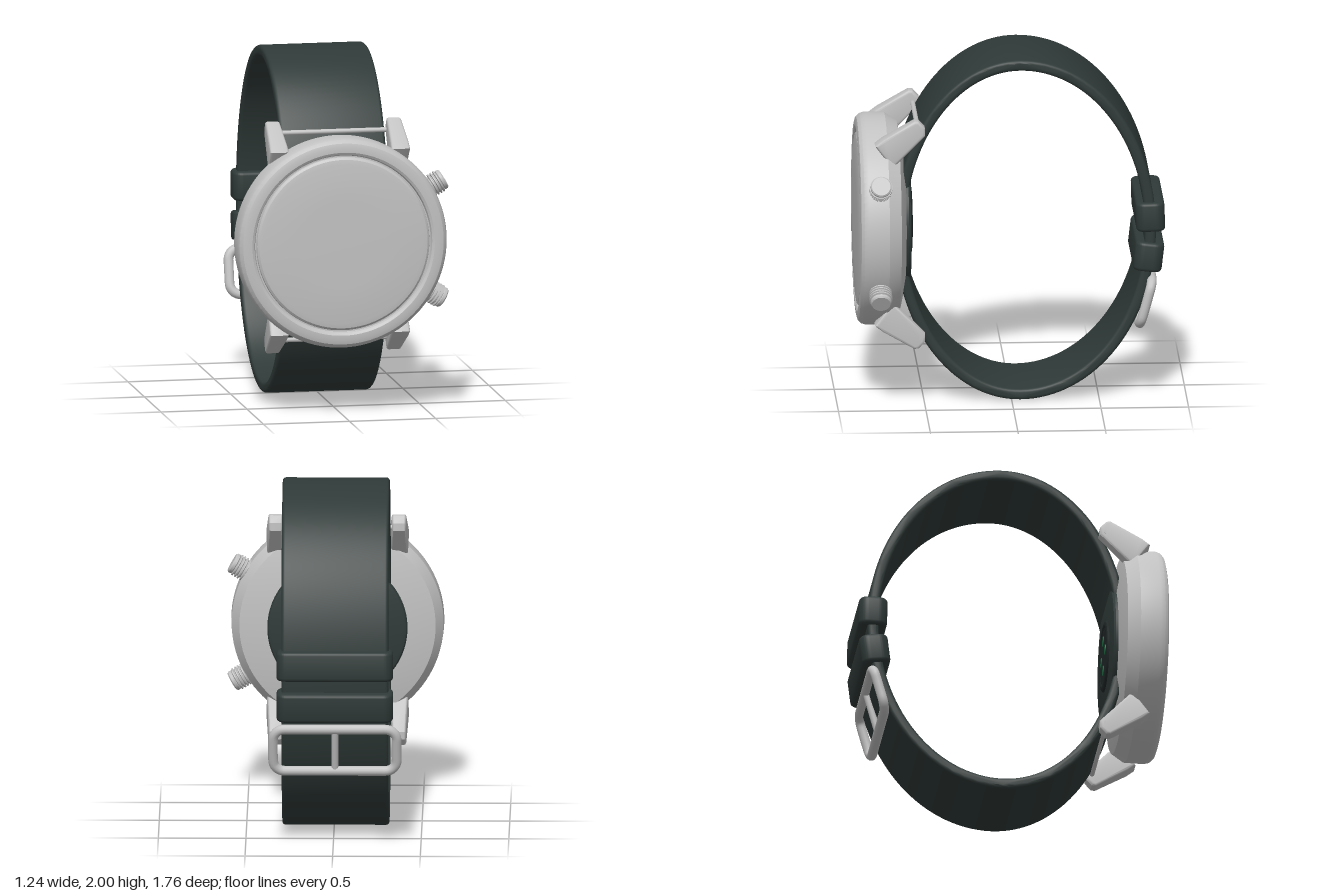
import * as THREE from 'three';
import { toCreasedNormals } from 'three/addons/utils/BufferGeometryUtils.js';

const V2 = (x, y) => new THREE.Vector2(x, y);
const CX = -0.01, CY = 1.0; // centre of the case

export function createModel() {
  const model = new THREE.Group();
  model.name = 'wristwatch';
  const mat = (name, color) => {
    const m = new THREE.MeshStandardMaterial({ color });
    m.name = name;
    return m;
  };
  const silver = mat('silver metal', 0xc2c2c2);
  const rubber = mat('dark green rubber', 0x2f3a38);
  const black = mat('sensor black', 0x222929);
  const green = mat('sensor green', 0x1f6b42);

  const add = (name, geo, material, parent = model) => {
    const mesh = new THREE.Mesh(geo, material);
    mesh.name = name;
    parent.add(mesh);
    return mesh;
  };
  // Lathe whose axis points along +z; profile entries are [radius, z] from back to front
  const turned = (profile, segments = 96, crease = 0.5) =>
    toCreasedNormals(new THREE.LatheGeometry(profile.map(p => V2(...p)), segments), crease).rotateX(Math.PI / 2);
  // Extrusion along x, centred on x = 0; shape coordinates are (-z, y)
  const extrudeX = (shape, width, bevel, crease = 0.6) => {
    const geo = new THREE.ExtrudeGeometry(shape, {
      depth: width - 2 * bevel, bevelEnabled: true, bevelSize: bevel,
      bevelThickness: bevel, bevelOffset: -bevel, bevelSegments: 3,
    });
    geo.translate(0, 0, bevel - width / 2).rotateY(Math.PI / 2);
    return toCreasedNormals(geo, crease);
  };
  const roundRect = (w, h, r) => {
    const s = new THREE.Shape(), x = w / 2, y = h / 2;
    s.moveTo(x, -y + r);
    s.absarc(x - r, y - r, r, 0, Math.PI / 2);
    s.absarc(-x + r, y - r, r, Math.PI / 2, Math.PI);
    s.absarc(-x + r, -y + r, r, Math.PI, Math.PI * 1.5);
    s.absarc(x - r, -y + r, r, Math.PI * 1.5, Math.PI * 2);
    return s;
  };

  // Case, with a chamfered back and a recess for the screen
  add('case', turned([[0, 0.6], [0.38, 0.6], [0.56, 0.64], [0.605, 0.71], [0.608, 0.825], [0.6, 0.852],
    [0.582, 0.87], [0.56, 0.876], [0.53, 0.876], [0.516, 0.868], [0.51, 0.852], [0, 0.852]]), silver)
    .position.set(CX, CY + 0.005, 0);
  add('screen', turned([[0.503, 0.85], [0.5, 0.863], [0.488, 0.873], [0.46, 0.878], [0.25, 0.881], [0, 0.882]]), silver)
    .position.set(CX, CY + 0.005, 0);

  // Strap: a loop of two half ellipses, deeper at the back than at the front
  const loop = (front, back, b) => Array.from({ length: 128 }, (_, i) => {
    const t = (i / 128) * Math.PI * 2, c = Math.cos(t);
    return V2(0.05 + c * (c > 0 ? back : front), CY + b * Math.sin(t));
  });
  const strapShape = new THREE.Shape(loop(0.72, 0.775, 1));
  strapShape.holes.push(new THREE.Path(loop(0.66, 0.712, 0.938)));
  add('strap', extrudeX(strapShape, 0.61, 0.018), rubber).position.x = CX;

  // Back plate and heart-rate sensor
  add('backPlate', turned([[0, 0.574], [0.375, 0.574], [0.392, 0.579], [0.4, 0.59], [0.4, 0.615]]), rubber)
    .position.set(CX, CY, 0);
  add('sensorDome', turned([[0, 0.564], [0.165, 0.564], [0.172, 0.56], [0.185, 0.559], [0.2, 0.564], [0.212, 0.58]]), black)
    .position.set(CX, CY, 0);
  for (let i = 0; i < 4; i++) {
    const a = i * Math.PI / 2;
    const led = new THREE.CylinderGeometry(0.03, 0.03, 0.006, 20).rotateX(Math.PI / 2);
    add('sensorLight', led, green).position.set(CX + 0.092 * Math.cos(a), CY + 0.092 * Math.sin(a), 0.563);
  }

  // Lugs: wedge blocks that taper towards the strap pins
  const lugProfile = [[0.785, 0.53], [0.74, 0.565], [0.56, 0.67], [0.535, 0.668], [0.5, 0.63],
    [0.498, 0.585], [0.67, 0.412], [0.7, 0.415]];
  for (const sy of [1, -1]) {
    for (const sx of [1, -1]) {
      const geo = extrudeX(new THREE.Shape(lugProfile.map(([z, y]) => V2(-z, sy * y))), 0.11, 0.015);
      const p = geo.attributes.position;
      for (let i = 0; i < p.count; i++) {
        const k = THREE.MathUtils.clamp((p.getZ(i) - 0.5) / 0.26, 0, 1);
        p.setX(i, p.getX(i) * THREE.MathUtils.lerp(0.7, 1, k));
      }
      add('lug', toCreasedNormals(geo, 0.6), silver).position.set(CX + sx * 0.352, CY, 0);
    }
    const pin = new THREE.CylinderGeometry(0.014, 0.014, 0.785, 16).rotateZ(Math.PI / 2);
    add('strapPin', pin, silver).position.set(CX, CY + sy * 0.6, 0.535);
  }

  // Ribbed push buttons on the model's left side
  const crown = [[0.035, 0.54], [0.035, 0.6]];
  for (let i = 0; i < 4; i++) {
    const h = 0.6 + i * 0.018;
    crown.push([0.054, h], [0.066, h + 0.004], [0.066, h + 0.011], [0.054, h + 0.015]);
  }
  crown.push([0.06, 0.673], [0.06, 0.688], [0.053, 0.695], [0, 0.695]);
  for (const s of [1, -1]) {
    const button = add('pushButton', turned(crown, 32), silver);
    button.position.set(CX, CY, 0.76);
    button.rotation.set(-s * Math.PI / 6, Math.PI / 2, 0, 'YXZ');
  }

  // Strap keepers
  for (const [y, z, tilt] of [[1.07, -0.793, 0.03], [0.835, -0.783, -0.12]]) {
    const geo = new THREE.ExtrudeGeometry(roundRect(0.665, 0.165, 0.055), {
      depth: 0.13, bevelEnabled: true, bevelSize: 0.02, bevelThickness: 0.02,
      bevelOffset: -0.02, bevelSegments: 3, curveSegments: 8,
    });
    geo.translate(0, 0, -0.065).rotateX(-Math.PI / 2);
    const keeper = add('strapKeeper', toCreasedNormals(geo, 0.6), rubber);
    keeper.position.set(CX, y, z);
    keeper.rotation.x = tilt;
  }

  // Buckle: rounded wire frame with a tongue across the middle
  const buckle = new THREE.Group();
  buckle.name = 'buckle';
  const path = roundRect(0.705, 0.265, 0.065).getSpacedPoints(80).slice(0, -1);
  const curve = new THREE.CatmullRomCurve3(path.map(p => new THREE.Vector3(p.x, p.y, 0)), true);
  add('buckleFrame', new THREE.TubeGeometry(curve, 120, 0.028, 12, true), silver, buckle);
  add('buckleTongue', new THREE.CylinderGeometry(0.02, 0.02, 0.27, 16), silver, buckle);
  buckle.position.set(CX, 0.57, -0.766);
  buckle.rotation.x = -0.27;
  model.add(buckle);

  return model;
}
